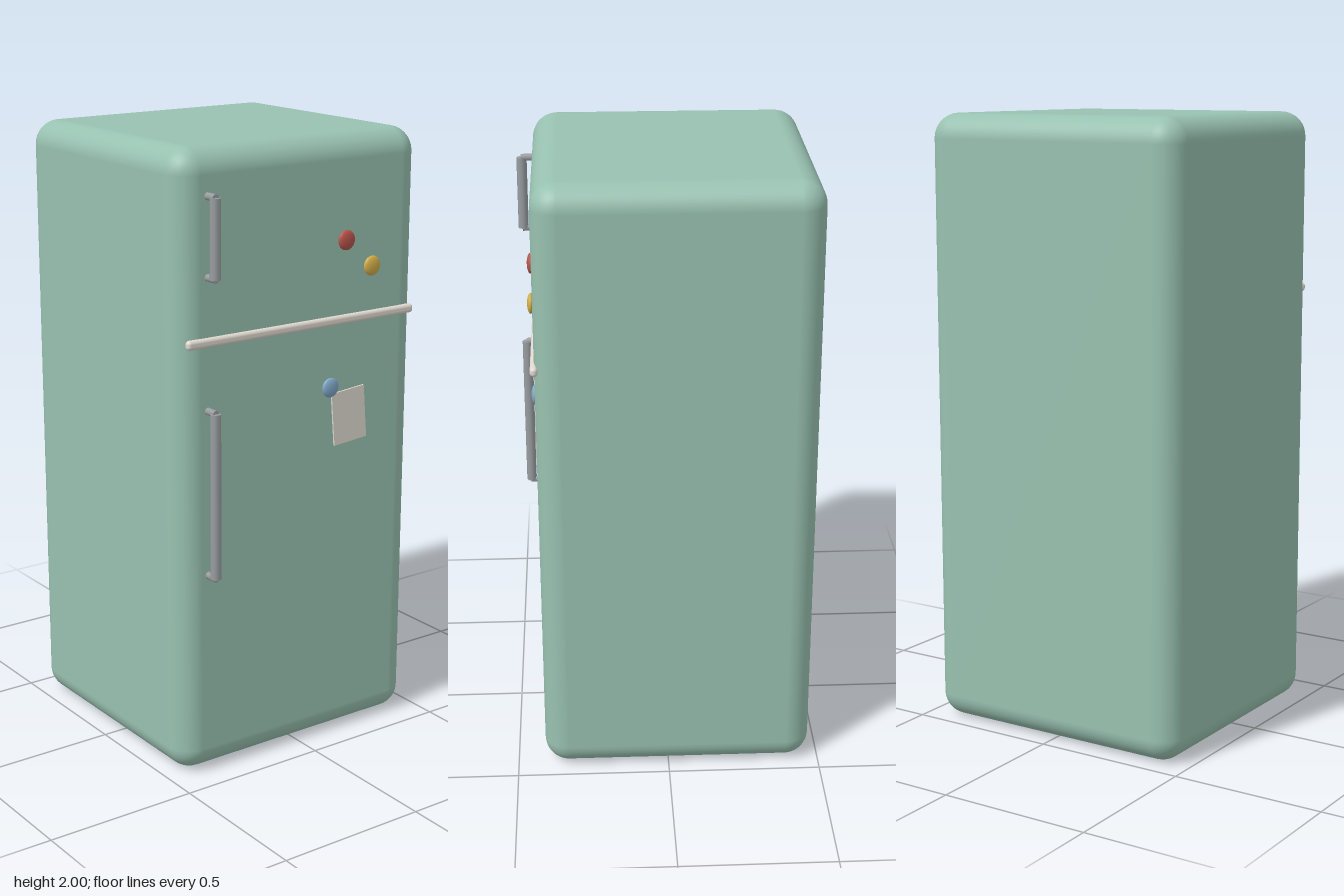
import * as THREE from 'three';
import { RoundedBoxGeometry } from 'three/addons/geometries/RoundedBoxGeometry.js';

const FRONT = 0.41; // z of the door face

const paint = (color) => new THREE.MeshStandardMaterial({ color });

function add(parent, name, geometry, material, x, y, z) {
  const mesh = new THREE.Mesh(geometry, material);
  mesh.name = name;
  mesh.position.set(x, y, z);
  parent.add(mesh);
  return mesh;
}

// Vertical bar held off the door by two short posts
function makeHandle(name, bottom, top, material) {
  const handle = new THREE.Group();
  handle.name = name;
  const bar = new THREE.CylinderGeometry(0.017, 0.017, top - bottom, 8);
  add(handle, 'handleBar', bar, material, 0, (top + bottom) / 2, 0.45);
  for (const y of [bottom, top]) {
    const post = new THREE.CylinderGeometry(0.012, 0.012, 0.05, 8);
    post.rotateX(Math.PI / 2);
    add(handle, 'handlePost', post, material, 0, y, 0.428);
  }
  handle.position.x = -0.362;
  return handle;
}

export function createModel() {
  const model = new THREE.Group();
  model.name = 'refrigerator';
  const metal = paint(0x9a9ea1);

  // Cabinet
  add(model, 'cabinet', new RoundedBoxGeometry(0.93, 2, 0.88, 6, 0.08), paint(0x98c1b0), 0, 1, -0.03);

  // Trim between the freezer and the main door
  add(model, 'doorTrim', new RoundedBoxGeometry(0.88, 0.03, 0.024, 4, 0.0115), paint(0xe0d9d0), 0, 1.417, FRONT);

  // Handles
  model.add(makeHandle('freezerHandle', 1.615, 1.858, metal));
  model.add(makeHandle('mainHandle', 0.672, 1.203, metal));

  // Note pinned to the main door
  const note = add(model, 'note', new THREE.BoxGeometry(0.131, 0.175, 0.006), paint(0xded8d0), 0.185, 1.098, 0.413);
  note.rotation.z = 0.083;

  // Flattened round magnets
  const magnets = [
    ['redMagnet', 0.16, 1.67, 0xb8554b],
    ['yellowMagnet', 0.265, 1.577, 0xd4b04a],
    ['blueMagnet', 0.105, 1.203, 0x82a9c9],
  ];
  for (const [name, x, y, color] of magnets) {
    const magnet = add(model, name, new THREE.SphereGeometry(0.032, 20, 14), paint(color), x, y, 0.417);
    magnet.scale.z = 0.35;
  }

  return model;
}
